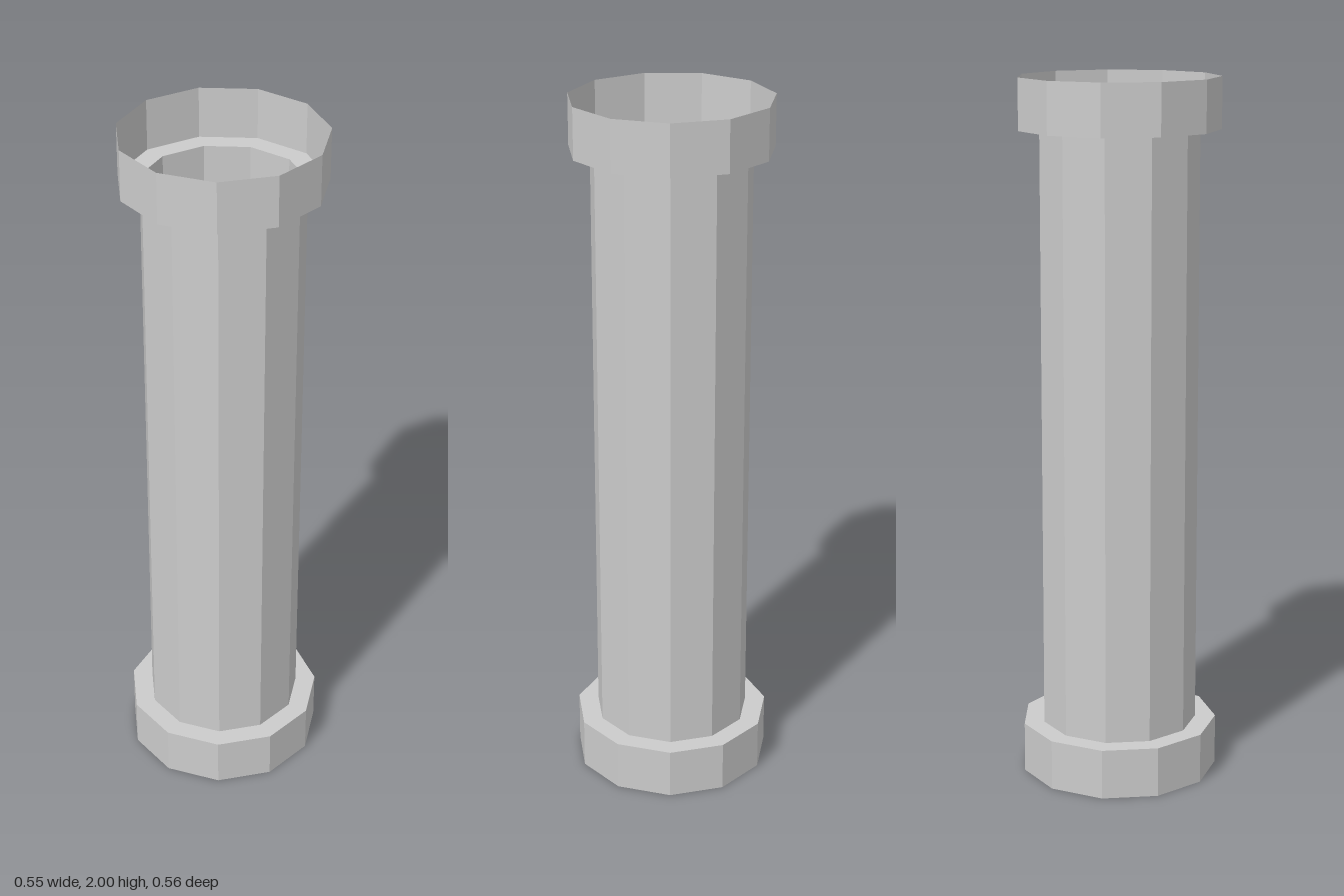
import * as THREE from 'three';

const SIDES = 11;
const PIPE_R = 0.2243, COLLAR_R = 0.2832;
const HEIGHT = 2, COLLAR_H = 0.144;

const material = new THREE.MeshStandardMaterial({
  color: 0xcccccc, flatShading: true, side: THREE.DoubleSide,
});

// Faceted shell turned from a [radius, height] profile, one corner on +x
function shell(name, profile) {
  const points = profile.map(([r, y]) => new THREE.Vector2(r, y));
  const geometry = new THREE.LatheGeometry(points, SIDES, Math.PI / 2).toNonIndexed();
  geometry.computeVertexNormals();
  const mesh = new THREE.Mesh(geometry, material);
  mesh.name = name;
  mesh.position.x = -0.006; // centres the odd-sided outline
  return mesh;
}

export function createModel() {
  const group = new THREE.Group();
  group.name = 'pipe';
  const low = COLLAR_H, high = HEIGHT - COLLAR_H;

  // Open tube between the collars
  group.add(shell('pipeBody', [[PIPE_R, low], [PIPE_R, high]]));

  // Thin-walled collars, open outwards, each with a ledge meeting the tube
  group.add(shell('bottomCollar', [[COLLAR_R, 0], [COLLAR_R, low], [PIPE_R, low]]));
  group.add(shell('topCollar', [[PIPE_R, high], [COLLAR_R, high], [COLLAR_R, HEIGHT]]));
  return group;
}
